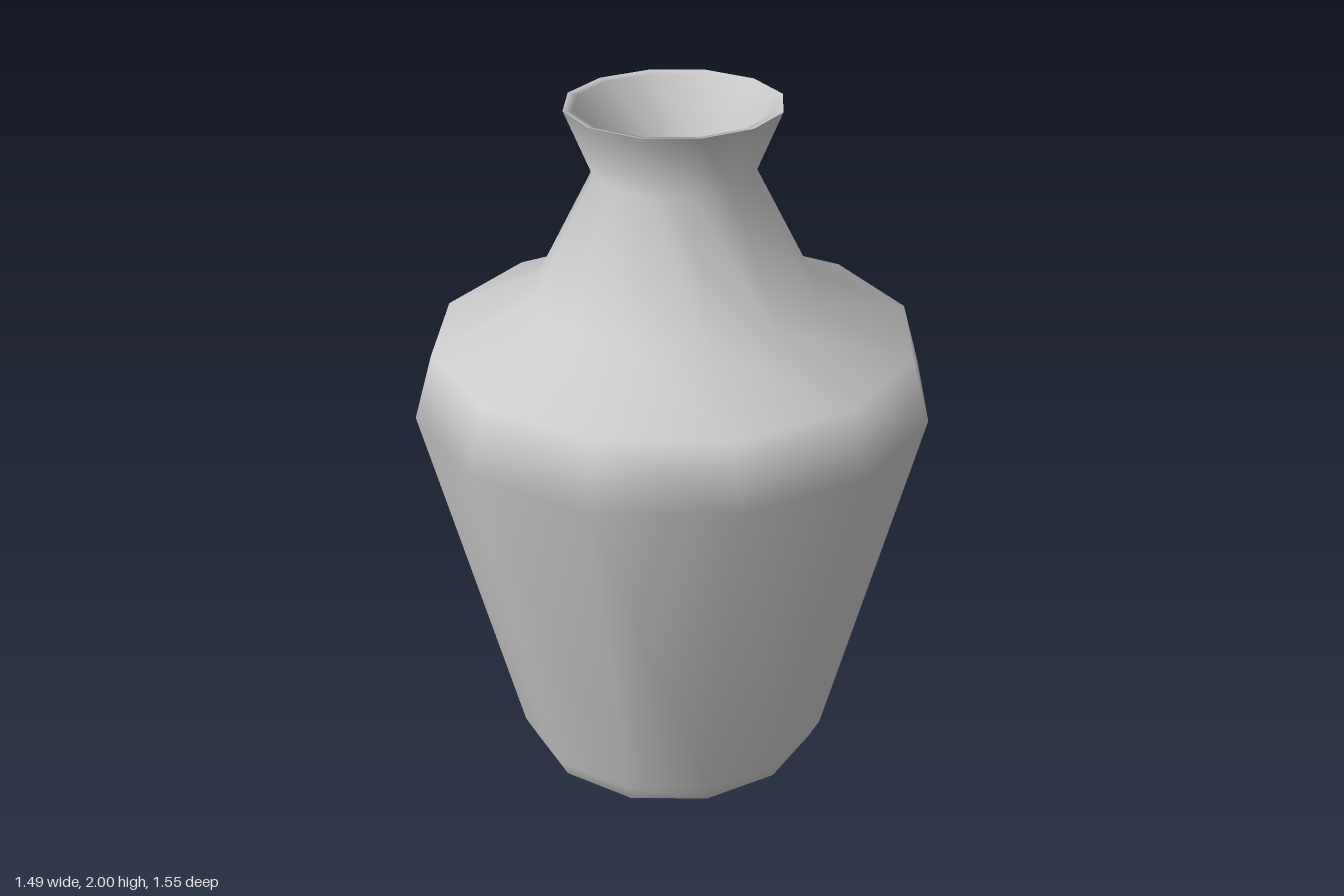
import * as THREE from 'three';

const SIDES = 12;
const X_SCALE = 0.961; // slightly oval plan

export function createModel() {
  const vase = new THREE.Group();
  vase.name = 'vase';
  const clay = new THREE.MeshStandardMaterial({ color: 0xcccccc, side: THREE.DoubleSide });

  // Turns a [radius, height] profile into a twelve-sided smooth surface
  const turn = (name, profile) => {
    const points = profile.map(([r, y]) => new THREE.Vector2(r, y));
    const geometry = new THREE.LatheGeometry(points, SIDES);
    geometry.scale(X_SCALE, 1, 1);
    const mesh = new THREE.Mesh(geometry, clay);
    mesh.name = name;
    vase.add(mesh);
  };

  // Outer wall: foot, tapered belly, shoulder, neck and flared mouth
  turn('body', [
    [0.455, 0], [0.488, 0.06], [0.775, 1.14], [0.72, 1.325],
    [0.425, 1.455], [0.235, 1.81], [0.317, 2],
  ]);

  // Lip and inside of the mouth, open below the throat
  turn('mouthLining', [[0.317, 2], [0.29, 1.995], [0.197, 1.81], [0.21, 1.76]]);

  // Upright wall inside the open foot
  turn('footRecess', [[0.455, 0.23], [0.455, 0]]);

  return vase;
}
